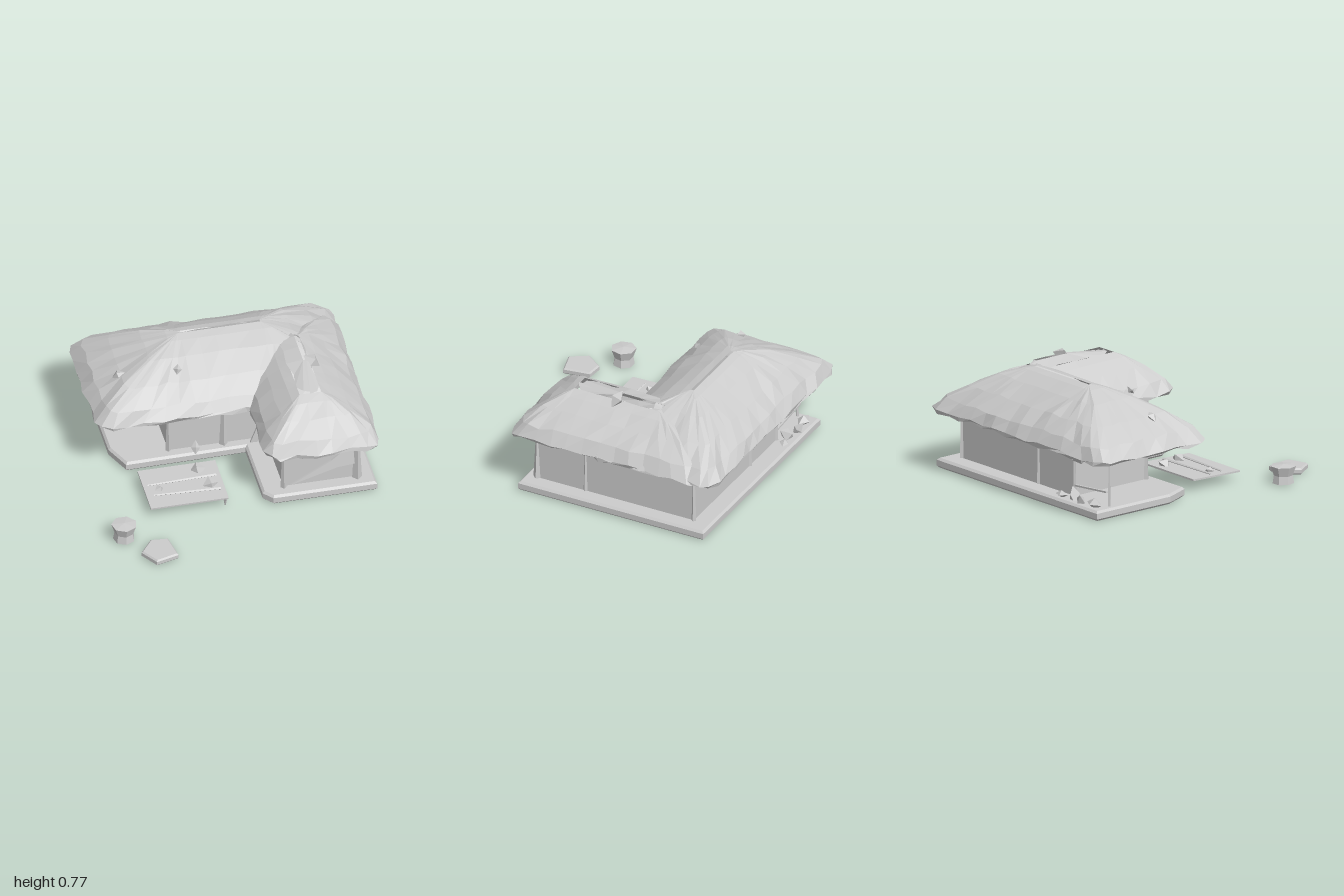
import * as THREE from 'three';

const mat = new THREE.MeshStandardMaterial({ color: 0xcccccc, flatShading: true, side: THREE.DoubleSide });

// Repeatable noise in -1..1
const noise = (i) => {
  const s = Math.sin(i * 127.1 + 11.7) * 43758.5453;
  return 2 * (s - Math.floor(s)) - 1;
};

function add(group, name, geometry, x = 0, y = 0, z = 0, rx = 0, ry = 0, rz = 0) {
  const mesh = new THREE.Mesh(geometry, mat);
  mesh.name = name;
  mesh.position.set(x, y, z);
  mesh.rotation.set(rx, ry, rz);
  group.add(mesh);
  return mesh;
}

// Extrude an x/z outline upwards, with an optional sloping edge
function slab(outline, height, bevel = 0) {
  const shape = new THREE.Shape(outline.map(([x, z]) => new THREE.Vector2(x, -z)));
  const geo = new THREE.ExtrudeGeometry(shape, {
    depth: height - bevel, bevelEnabled: bevel > 0, bevelSegments: 1,
    bevelThickness: bevel / 2, bevelSize: bevel / 2, bevelOffset: -bevel / 2,
  });
  geo.rotateX(-Math.PI / 2);
  geo.translate(0, bevel / 2, 0);
  return geo;
}

// Thin upright sheet from an x/y outline
const sheet = (points) => new THREE.ExtrudeGeometry(
  new THREE.Shape(points.map(([x, y]) => new THREE.Vector2(x, y))), { depth: 0.015, bevelEnabled: false });

// Hipped thatch: rings running from a ragged rounded eave up to a ridge
function thatch(box, ridge, profile, seed) {
  const [x0, x1, z0, z1] = box;
  const cx = (x0 + x1) / 2, cz = (z0 + z1) / 2;
  const hx = (x1 - x0) / 2, hz = (z1 - z0) / 2, r = 0.09;
  const eave = [];
  const corners = [[1, 1, 0], [-1, 1, 1], [-1, -1, 2], [1, -1, 3]];
  const outline = corners.flatMap(([sx, sz, q]) => [0, 0.5, 1].map((k) => {
    const a = (q + k) * Math.PI / 2;
    return [cx + sx * (hx - r) + r * Math.cos(a), cz + sz * (hz - r) + r * Math.sin(a)];
  }));
  outline.forEach((p, i) => {
    const q = outline[(i + 1) % outline.length];
    const steps = Math.max(1, Math.round(Math.hypot(q[0] - p[0], q[1] - p[1]) / 0.12));
    for (let k = 0; k < steps; k++) {
      eave.push([p[0] + (q[0] - p[0]) * k / steps, p[1] + (q[1] - p[1]) * k / steps]);
    }
  });
  const n = eave.length, positions = [], index = [];
  profile.forEach(([t, y], j) => eave.forEach(([x, z], i) => {
    const tx = THREE.MathUtils.clamp(x, ridge[0], ridge[1]);
    const tz = THREE.MathUtils.clamp(z, ridge[2], ridge[3]);
    const k = seed + i * 3.1 + j * 57.3;
    const rough = 0.015 * (1 - t);
    positions.push(x + (tx - x) * t + noise(k) * rough, y + noise(k + 0.7) * rough,
      z + (tz - z) * t + noise(k + 1.9) * rough);
  }));
  for (let j = 0; j < profile.length - 1; j++) {
    for (let i = 0; i < n; i++) {
      const a = j * n + i, b = j * n + (i + 1) % n;
      index.push(a, a + n, b, b, a + n, b + n);
    }
  }
  const geo = new THREE.BufferGeometry();
  geo.setAttribute('position', new THREE.Float32BufferAttribute(positions, 3));
  geo.setIndex(index);
  geo.computeVertexNormals();
  return geo;
}

export function createModel() {
  const hut = new THREE.Group();
  hut.name = 'thatchedHut';

  // L-shaped platform with a cut porch corner
  add(hut, 'platform', slab([[-0.77, -0.91], [0.92, -0.91], [0.92, 0.51], [0.2, 0.51],
    [0.14, 0.44], [0.14, -0.08], [-0.69, -0.07], [-0.77, -0.26]], 0.07, 0.03));

  // Walls
  add(hut, 'walls', slab([[-0.38, -0.78], [0.81, -0.78], [0.81, 0.41], [0.29, 0.41],
    [0.29, -0.15], [-0.38, -0.15]], 0.4), 0, 0.06, 0);

  // Tapered corner, wall and porch posts
  const posts = [[0.8, 0.42, 0.035], [0.29, 0.42, 0.022], [0.81, -0.78, 0.018], [-0.38, -0.78, 0.015],
    [-0.38, -0.15, 0.02], [0, -0.14, 0.03], [0, -0.78, 0.015], [0.81, 0.05, 0.015],
    [-0.72, -0.76, 0.012]];
  posts.forEach(([x, z, r]) => add(hut, 'post', new THREE.CylinderGeometry(r * 0.35, r, 0.4, 4), x, 0.26, z));

  // Two crossing thatched roofs; each profile runs underside, hem, slope, ridge
  add(hut, 'mainRoof', thatch([-0.9, 0.935, -0.985, 0.0], [-0.23, 0.34, -0.53, -0.51],
    [[0.95, 0.7], [0.25, 0.49], [0.02, 0.42], [0, 0.44], [0.12, 0.52], [0.35, 0.62], [0.65, 0.71],
      [0.88, 0.76], [1, 0.775]], 3));
  add(hut, 'wingRoof', thatch([0.145, 0.935, -0.9, 0.585], [0.44, 0.59, -0.4, 0.25],
    [[0.95, 0.65], [0.25, 0.48], [0.02, 0.42], [0, 0.44], [0.15, 0.52], [0.5, 0.61], [0.8, 0.675],
      [1, 0.705]], 41));
  add(hut, 'wingRidge', thatch([0.44, 0.59, -0.45, 0.25], [0.54, 0.57, -0.35, -0.08],
    [[0, 0.7], [1, 0.735]], 77));

  // Loose tufts on the thatch and one hanging below the back eave
  [[-0.68, 0.615, -0.35, 0.04], [-0.3, 0.695, -0.22, 0.03], [0.6, 0.715, -0.08, 0.06],
    [-0.56, 0.395, -0.88, 0.05]].forEach(([x, y, z, r], i) => {
    add(hut, 'tuft', new THREE.OctahedronGeometry(r), x, y, z, 0.4, i * 1.3, 0.5).scale.set(1.2, 0.8, 1);
  });

  // Boards across the wing front, a leaning hide and a propped plank by the inner corner
  [[0.5, 0.35, 0.32], [0.57, 0.29, 0.3]].forEach(([x, y, w]) =>
    add(hut, 'board', new THREE.BoxGeometry(w, 0.014, 0.014), x, y, 0.415));
  add(hut, 'leaningHide', sheet([[0.33, 0.1], [0.62, 0.25], [0.77, 0.36], [0.78, 0.2], [0.66, 0.19]]),
    0, 0, 0.45, -0.12);
  add(hut, 'proppedPlank', sheet([[0.18, 0.07], [0.28, 0.07], [0.28, 0.33]]), 0, 0, -0.12);

  // Porch rail and rubble
  add(hut, 'porchRail', new THREE.BoxGeometry(0.34, 0.012, 0.015), -0.55, 0.16, -0.78, 0, 0, -0.08);
  [[-0.66, -0.84, 0.05], [-0.54, -0.86, 0.04], [-0.44, -0.83, 0.055], [-0.34, -0.86, 0.035],
    [-0.2, -0.11, 0.035]].forEach(([x, z, r], i) => {
    add(hut, 'rubble', new THREE.OctahedronGeometry(r), x, 0.09, z, i, i * 2, 0).scale.set(1.5, 0.8, 0.9);
  });

  // Low deck in the yard with poles, a support and stones
  const deck = new THREE.Group();
  deck.name = 'yardDeck';
  deck.position.set(-0.37, 0.075, 0.255);
  deck.rotation.x = 0.03;
  add(deck, 'deckBoard', new THREE.BoxGeometry(0.54, 0.012, 0.41));
  add(deck, 'deckPole', new THREE.CylinderGeometry(0.006, 0.01, 0.48, 4), 0, 0.012, -0.04, 0, 0.03, Math.PI / 2);
  add(deck, 'deckPole', new THREE.CylinderGeometry(0.006, 0.01, 0.46, 4), 0.01, 0.012, 0.09, 0, -0.05, Math.PI / 2);
  add(deck, 'deckSupport', new THREE.CylinderGeometry(0.015, 0.004, 0.06, 4), 0.25, -0.035, 0.19);
  [[0.13, -0.13, 0.055], [0.18, 0.04, 0.055], [-0.17, 0.02, 0.035]].forEach(([x, z, r], i) =>
    add(deck, 'deckStone', new THREE.OctahedronGeometry(r), x, 0.01, z, 0.5, i * 1.7, 0.3).scale.y = 0.8);
  hut.add(deck);

  // Squat pot and flat stone in front
  const pot = [[0, 0], [0.075, 0.005], [0.066, 0.06], [0.088, 0.125], [0, 0.135]]
    .map(([x, y]) => new THREE.Vector2(x, y));
  add(hut, 'pot', new THREE.LatheGeometry(pot, 7), -0.87, 0, 0.65);
  add(hut, 'flatStone', slab([[-0.8, 0.87], [-0.71, 0.75], [-0.59, 0.76], [-0.56, 0.95], [-0.72, 0.995]],
    0.045, 0.02));

  return hut;
}
